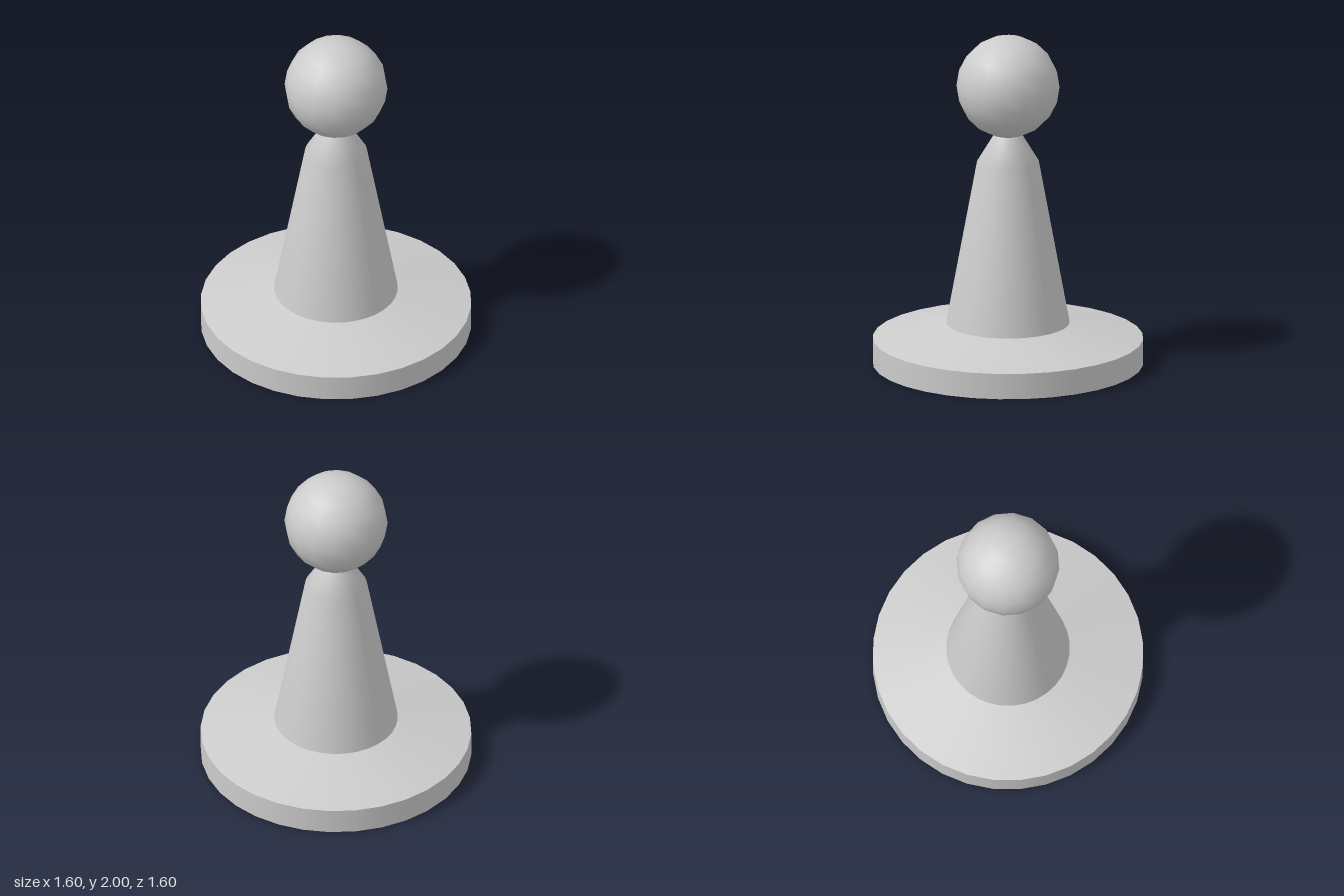
import * as THREE from 'three';

const shell = new THREE.MeshStandardMaterial({ color: 0xcccccc, side: THREE.DoubleSide });

// Thin 32-sided surface of revolution from [radius, height] pairs, bottom to top
function revolve(name, profile) {
  const points = profile.map(([r, y]) => new THREE.Vector2(r, y));
  const mesh = new THREE.Mesh(new THREE.LatheGeometry(points, 32), shell);
  mesh.name = name;
  return mesh;
}

export function createModel() {
  const model = new THREE.Group();
  model.name = 'pawn';

  // Hollow base, open underneath; separate pieces keep the edges sharp
  model.add(revolve('baseRim', [[0.8, 0], [0.8, 0.155]]));
  model.add(revolve('baseSkirt', [[0.8, 0.155], [0.365, 0.25]]));

  // Tapered body with a smooth shoulder, tucked into the head
  model.add(revolve('body', [[0.365, 0.25], [0.183, 1.235], [0.08, 1.405]]));

  // Ball head
  const head = new THREE.Mesh(
    new THREE.SphereGeometry(0.305, 16, 10),
    new THREE.MeshStandardMaterial({ color: 0xcccccc })
  );
  head.name = 'head';
  head.position.y = 1.695;
  model.add(head);

  return model;
}
